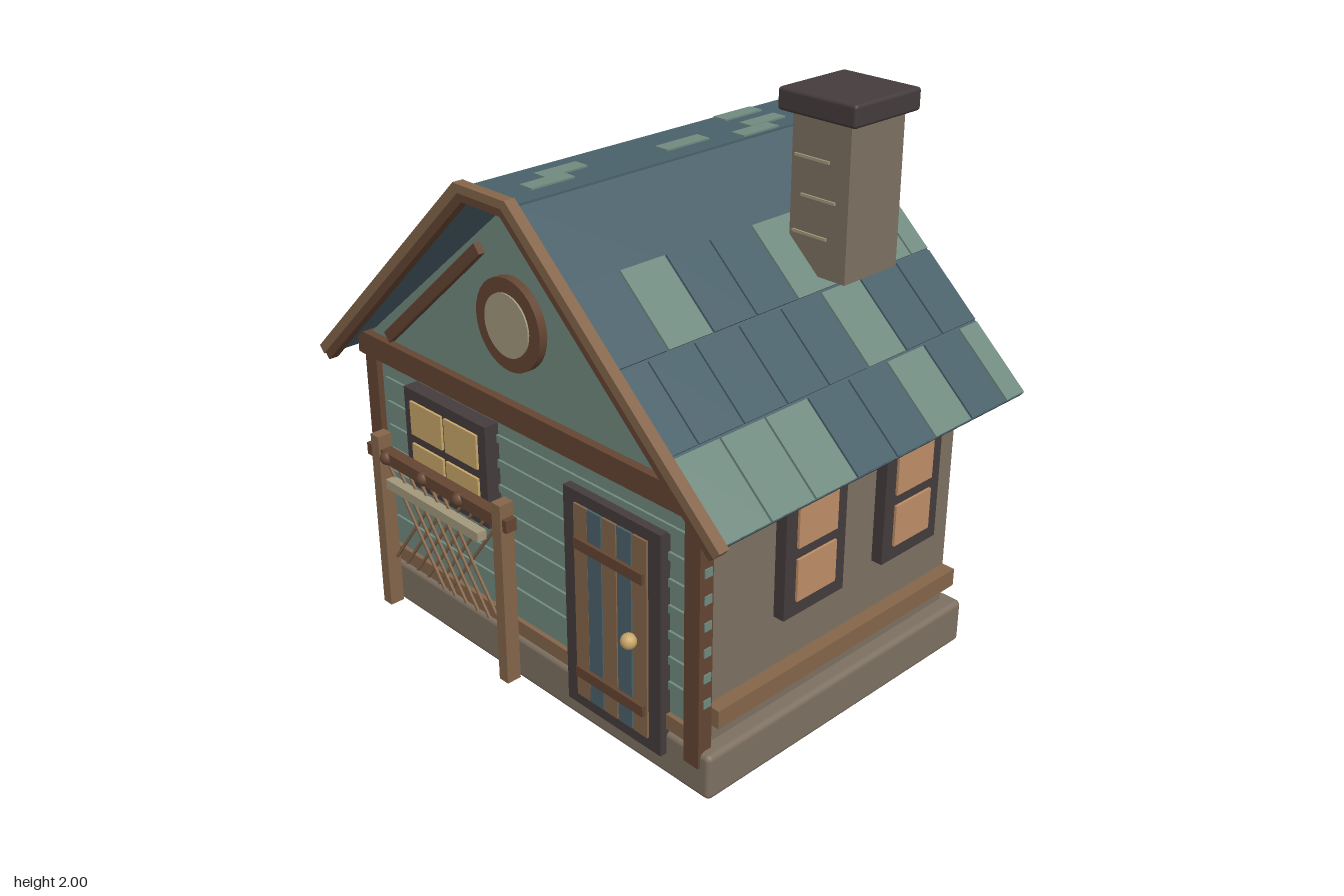
import * as THREE from 'three';
import { RoundedBoxGeometry } from 'three/addons/geometries/RoundedBoxGeometry.js';

const mat = (name, color) => Object.assign(new THREE.MeshStandardMaterial({ color }), { name });
const M = {
  stone: mat('stone', 0x7d7061), sage: mat('sage', 0x708a7f), slate: mat('slate', 0x4a616a),
  darkWood: mat('dark wood', 0x644532), lightWood: mat('light wood', 0x84654a),
  charcoal: mat('charcoal', 0x443c3d), gold: mat('warm glass', 0xc8a669),
  peach: mat('peach glass', 0xbe8e66), cream: mat('cream', 0xa2987c),
};

export function createModel() {
  const root = new THREE.Group();
  root.name = 'cottage';
  const add = (name, geo, m, parent = root) => {
    const mesh = new THREE.Mesh(geo, m);
    mesh.name = name;
    parent.add(mesh);
    return mesh;
  };
  // Box given by its limits on each axis; r rounds the edges
  const box = (name, m, x0, x1, y0, y1, z0, z1, r = 0) => {
    const s = [x1 - x0, y1 - y0, z1 - z0];
    const mesh = add(name, r ? new RoundedBoxGeometry(...s, 2, r) : new THREE.BoxGeometry(...s), m);
    mesh.position.set((x0 + x1) / 2, (y0 + y1) / 2, (z0 + z1) / 2);
    return mesh;
  };
  // Straight board in the xy plane between two points
  const board = (name, m, ax, ay, bx, by, w, z0, z1) => {
    const mesh = add(name, new THREE.BoxGeometry(Math.hypot(bx - ax, by - ay), w, z1 - z0), m);
    mesh.position.set((ax + bx) / 2, (ay + by) / 2, (z0 + z1) / 2);
    mesh.rotation.z = Math.atan2(by - ay, bx - ax);
    return mesh;
  };
  const prism = (name, m, pts, z0, z1) => {
    const shape = new THREE.Shape(pts.map(p => new THREE.Vector2(...p)));
    const mesh = add(name, new THREE.ExtrudeGeometry(shape, { depth: z1 - z0, bevelEnabled: false }), m);
    mesh.position.z = z0;
    return mesh;
  };

  // Plinth, house body and front cladding
  box('plinth', M.stone, -0.89, 0.84, 0, 0.165, -0.65, 0.62, 0.02);
  prism('houseBody', M.stone, [[-0.83, 0.1], [0.78, 0.1], [0.78, 1.04], [-0.025, 1.72], [-0.83, 1.04]], -0.6, 0.59);
  prism('frontWall', M.sage, [[-0.8, 0.18], [0.75, 0.18], [0.75, 1.04], [0.79, 1.05], [-0.025, 1.73], [-0.84, 1.05], [-0.8, 1.04]], 0.585, 0.605);
  for (let i = 0; i < 7; i++) {
    const y = 0.325 + i * 0.092;
    box('sidingBoard', M.sage, -0.76, 0.74, y, y + 0.028, 0.6, 0.614);
    for (const x of [-0.852, 0.802]) box('sidingEnd', M.sage, x - 0.004, x + 0.004, y, y + 0.03, 0.58, 0.61);
  }
  box('frontSkirtBoard', M.lightWood, -0.8, 0.75, 0.18, 0.235, 0.6, 0.622);
  for (const x of [-0.82, 0.77]) box('cornerPost', M.darkWood, x - 0.032, x + 0.032, 0.11, 0.98, 0.572, 0.628);
  box('frontBeam', M.darkWood, -0.88, 0.82, 0.972, 1.055, 0.57, 0.635);
  for (const [a, b] of [[-0.89, -0.82], [0.77, 0.83]]) box('sideRail', M.lightWood, a, b, 0.245, 0.31, -0.6, 0.57);

  // Gable braces and round window
  board('gableBrace', M.darkWood, -0.71, 1.075, -0.18, 1.54, 0.04, 0.6, 0.63);
  board('gableBrace', M.darkWood, 0.72, 1.075, 0.2, 1.54, 0.04, 0.6, 0.63);
  const disc = (name, m, r, z0, z1, x, y) => {
    const mesh = add(name, new THREE.CylinderGeometry(r, r, z1 - z0, 32), m);
    mesh.rotation.x = Math.PI / 2;
    mesh.position.set(x, y, (z0 + z1) / 2);
  };
  disc('roundWindowFrame', M.darkWood, 0.155, 0.6, 0.635, -0.035, 1.33);
  disc('roundWindowGlass', M.cream, 0.106, 0.634, 0.641, -0.035, 1.33);

  // Side windows, two on each side
  for (const side of [-1, 1]) {
    const wall = side < 0 ? -0.83 : 0.78;
    const span = (a, b) => [wall + side * a, wall + side * b].sort((p, q) => p - q);
    for (const z of [0.14, -0.335]) {
      box('sideWindowFrame', M.charcoal, ...span(-0.01, 0.042), 0.495, 0.94, z - 0.14, z + 0.14);
      for (const y of [0.548, 0.738])
        box('sideWindowPane', M.peach, ...span(0.042, 0.051), y, y + 0.15, z - 0.09, z + 0.09);
    }
  }

  // Front window
  box('frontWindowFrame', M.charcoal, -0.585, -0.145, 0.57, 0.945, 0.6, 0.66);
  for (const x of [-0.545, -0.357])
    for (const y of [0.62, 0.78]) box('frontWindowPane', M.gold, x, x + 0.172, y, y + 0.125, 0.66, 0.669);

  // Door with planks, straps and knob
  box('doorFrame', M.charcoal, 0.22, 0.655, 0.085, 0.88, 0.6, 0.645);
  [0.275, 0.338, 0.405, 0.472, 0.54].forEach((x, i) =>
    box('doorPlank', i % 2 ? M.slate : M.lightWood, x, x + 0.062, 0.13, 0.84, 0.64, 0.653));
  for (const y of [0.212, 0.69]) box('doorStrap', M.darkWood, 0.285, 0.595, y, y + 0.038, 0.65, 0.666);
  add('doorKnob', new THREE.SphereGeometry(0.027, 16, 12), M.gold).position.set(0.54, 0.47, 0.67);

  // Net rack: posts, rail, pegs, shelf and crossed cords
  for (const x of [-0.69, -0.022]) box('rackPost', M.lightWood, x - 0.022, x + 0.022, 0.06, 0.74, 0.67, 0.725);
  box('rackRail', M.darkWood, -0.75, 0.02, 0.645, 0.69, 0.675, 0.718);
  for (const x of [-0.64, -0.43, -0.235])
    add('rackPeg', new THREE.SphereGeometry(0.026, 12, 8), M.darkWood).position.set(x, 0.668, 0.712);
  box('rackShelf', M.cream, -0.62, -0.11, 0.565, 0.6, 0.7, 0.737);
  for (let i = 0; i < 6; i++) {
    const x = -0.65 + i * 0.062;
    board('netCord', M.lightWood, x, 0.26, x + 0.29, 0.645, 0.009, 0.692, 0.7);
    board('netCord', M.lightWood, x + 0.29, 0.26, x, 0.645, 0.009, 0.7, 0.708);
  }

  // Roof slopes, measured up the slope (s) and outward from it (n)
  const EAVE = 0.985, TOP = 1.762, Z0 = -0.735, Z1 = 0.69;
  const slopes = [{ x0: -0.955, x1: -0.14, out: 1 }, { x0: 0.95, x1: 0.09, out: -1 }];
  const slopeBox = (name, m, { x0, x1, out }, s0, s1, n0, n1, z0, z1) => {
    const len = Math.hypot(x1 - x0, TOP - EAVE);
    const ux = (x1 - x0) / len, uy = (TOP - EAVE) / len;
    const s = (s0 + s1) / 2 * len, n = (n0 + n1) / 2 * out;
    const mesh = add(name, new THREE.BoxGeometry((s1 - s0) * len, n1 - n0, z1 - z0), m);
    mesh.position.set(x0 + ux * s - uy * n, EAVE + uy * s + ux * n, (z0 + z1) / 2);
    mesh.rotation.z = Math.atan2(uy, ux);
  };
  // Shingle courses: z of the first joint, then the indices of pale shingles
  const W = 0.188;
  const courses = [
    [[0.575, [1, 2]], [0.67, [8]], [0.575, [1]], [0.67, [4]]],
    [[0.495, [0, 1, 2, 5, 7]], [0.575, [5]], [0.485, [1, 4, 6, 7]]],
  ];
  slopes.forEach((slope, k) => {
    slopeBox('roofSlab', M.slate, slope, 0, 1, -0.022, 0, Z0, Z1);
    courses[k].forEach(([joint, pale], row) => {
      for (let i = 0; ; i++) {
        const hi = i ? joint - (i - 1) * W : Z1, lo = Math.max(joint - i * W, Z0);
        if (hi - lo < 0.02) break;
        slopeBox('shingle', pale.includes(i) ? M.sage : M.slate, slope,
          row / 4 + 0.002, (row + 1) / 4 - 0.006, 0, 0.007, lo + 0.004, hi - 0.004);
      }
    });
    slopeBox('rakeBoard', M.lightWood, slope, -0.012, 1.012, -0.012, 0.022, Z1, 0.73);
    slopeBox('rakeLowerBoard', M.darkWood, slope, -0.008, 1, -0.04, -0.012, Z1, 0.725);
  });

  // Flat ridge with a few pale shingles
  box('ridgeSlab', M.slate, -0.145, 0.095, 1.742, 1.765, Z0, Z1);
  const patches = [[0.03, -0.73, -0.65], [-0.14, -0.55, -0.37], [-0.03, -0.55, -0.38], [0.03, -0.45, -0.28],
    [-0.03, -0.18, 0.01], [-0.085, 0.3, 0.47], [-0.03, 0.4, 0.57]];
  for (const [x, a, b] of patches) box('ridgeShingle', M.sage, x, x + 0.057, 1.765, 1.771, a, b);
  box('ridgeBoard', M.lightWood, -0.145, 0.095, 1.757, 1.785, Z1, 0.73);
  box('ridgeLowerBoard', M.darkWood, -0.13, 0.08, 1.73, 1.757, Z1, 0.725);

  // Chimney
  box('chimney', M.stone, 0.365, 0.6, 1.41, 1.94, -0.46, -0.205);
  box('chimneyCap', M.charcoal, 0.322, 0.637, 1.925, 2, -0.49, -0.175, 0.012);
  for (const [x, y] of [[0.38, 1.787], [0.41, 1.662], [0.38, 1.537]])
    box('mortarLine', M.cream, x, x + 0.14, y, y + 0.009, -0.206, -0.198);

  return root;
}
